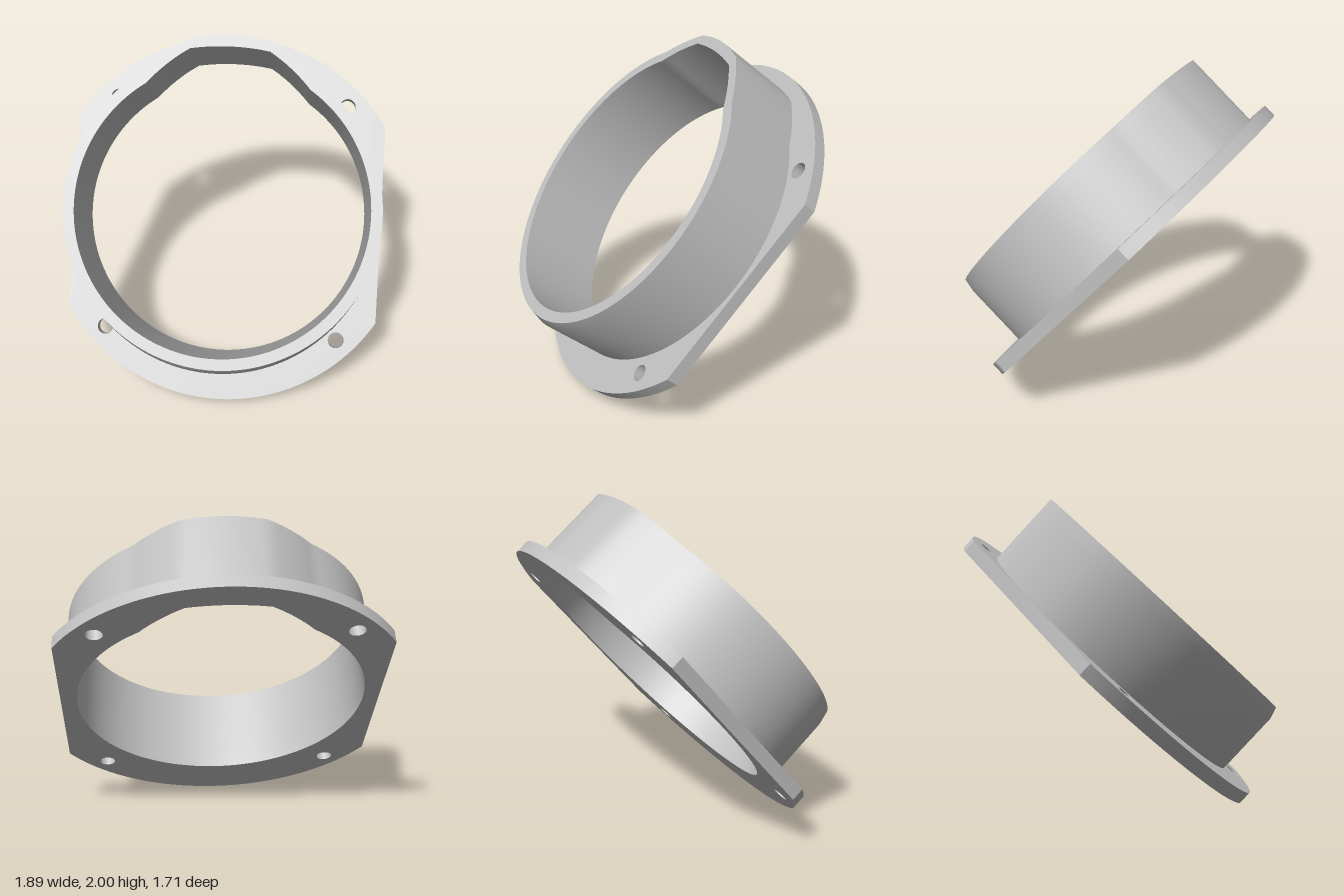
import * as THREE from 'three';
import { toCreasedNormals } from 'three/addons/utils/BufferGeometryUtils.js';

const T = 0.078;       // flange thickness
const H = 0.548;       // overall height along the axis
const CY = 0.026;      // offset of the collar centre

// Closed outline of the collar: a circle with a raised lobe at the top.
function outline({ r, corner, shoulder, top, squash = 1 }) {
  const a = Math.acos(corner / r);
  const y0 = CY + r * Math.sin(a);
  const [sx, sy] = shoulder;
  const P = (x, y) => new THREE.Vector2(x, y);
  const slope = (s) => new THREE.QuadraticBezierCurve(
    P(s * corner, y0), P(s * (corner + sx) / 2 + s * 0.015, (y0 + sy) / 2 + 0.02), P(s * sx, sy));
  const cap = new THREE.QuadraticBezierCurve(P(sx, sy), P(0, 2 * top - sy), P(-sx, sy));
  const pts = [
    ...slope(1).getPoints(6).slice(0, -1),
    ...cap.getPoints(12).slice(0, -1),
    ...slope(-1).getPoints(6).reverse().slice(0, -1),
  ];
  const n = 120, start = Math.PI - a, sweep = Math.PI + 2 * a;
  for (let i = 0; i < n; i++) {
    const t = start + sweep * i / n, s = Math.sin(t);
    pts.push(P(r * Math.cos(t), CY + r * s * (s < 0 ? squash : 1)));
  }
  return pts;
}

// Skin between successive outlines, each at its own height.
function loft(rings) {
  const n = rings[0].pts.length, pos = [], idx = [];
  for (const { pts, z } of rings) for (const p of pts) pos.push(p.x, p.y, z);
  for (let j = 0; j < rings.length - 1; j++) {
    for (let i = 0; i < n; i++) {
      const a = j * n + i, b = j * n + (i + 1) % n;
      idx.push(a, b, b + n, a, b + n, a + n);
    }
  }
  const g = new THREE.BufferGeometry();
  g.setAttribute('position', new THREE.Float32BufferAttribute(pos, 3));
  g.setIndex(idx);
  return toCreasedNormals(g, 0.6);
}

export function createModel() {
  const grey = new THREE.MeshStandardMaterial({ color: 0xc0c0c0 });
  grey.name = 'plainGrey';

  const outer = { r: 0.915, corner: 0.505, shoulder: [0.24, 1.0], top: 1.03 };
  const rim = outline(outer);
  const body = outline({ ...outer, squash: 0.941 / 0.915 });
  const bore = outline({ r: 0.85, corner: 0.474, shoulder: [0.23, 0.943], top: 0.963 });

  // Collar: outer wall, slight lower taper, rim face and bore
  const collar = new THREE.Mesh(loft([
    { pts: body, z: T }, { pts: body, z: 0.475 }, { pts: rim, z: H },
    { pts: bore, z: H }, { pts: bore, z: T },
  ]), grey);
  collar.name = 'collar';

  // Flange: disc with two straight sides, the bore and four screw holes
  const R = 1.118, a = Math.acos(0.945 / R);
  const shape = new THREE.Shape();
  shape.absarc(0, 0, R, a, Math.PI - a, false);
  shape.absarc(0, 0, R, Math.PI + a, 2 * Math.PI - a, false);
  shape.closePath();
  shape.holes.push(new THREE.Path(bore));
  for (const x of [-0.71, 0.71]) {
    for (const y of [-0.715, 0.715]) {
      shape.holes.push(new THREE.Path().absarc(x, y, 0.048, 0, 2 * Math.PI, true));
    }
  }
  const plate = new THREE.ExtrudeGeometry(shape, { depth: T, bevelEnabled: false, curveSegments: 48 });
  const flange = new THREE.Mesh(toCreasedNormals(plate, 0.5), grey);
  flange.name = 'flange';

  // The whole part leans back
  const tilted = new THREE.Group();
  tilted.name = 'flangedCollar';
  tilted.add(collar, flange);
  tilted.rotation.x = -40 * Math.PI / 180;
  tilted.position.set(0, 0.858, -0.136);

  const model = new THREE.Group();
  model.name = 'model';
  model.add(tilted);
  return model;
}
